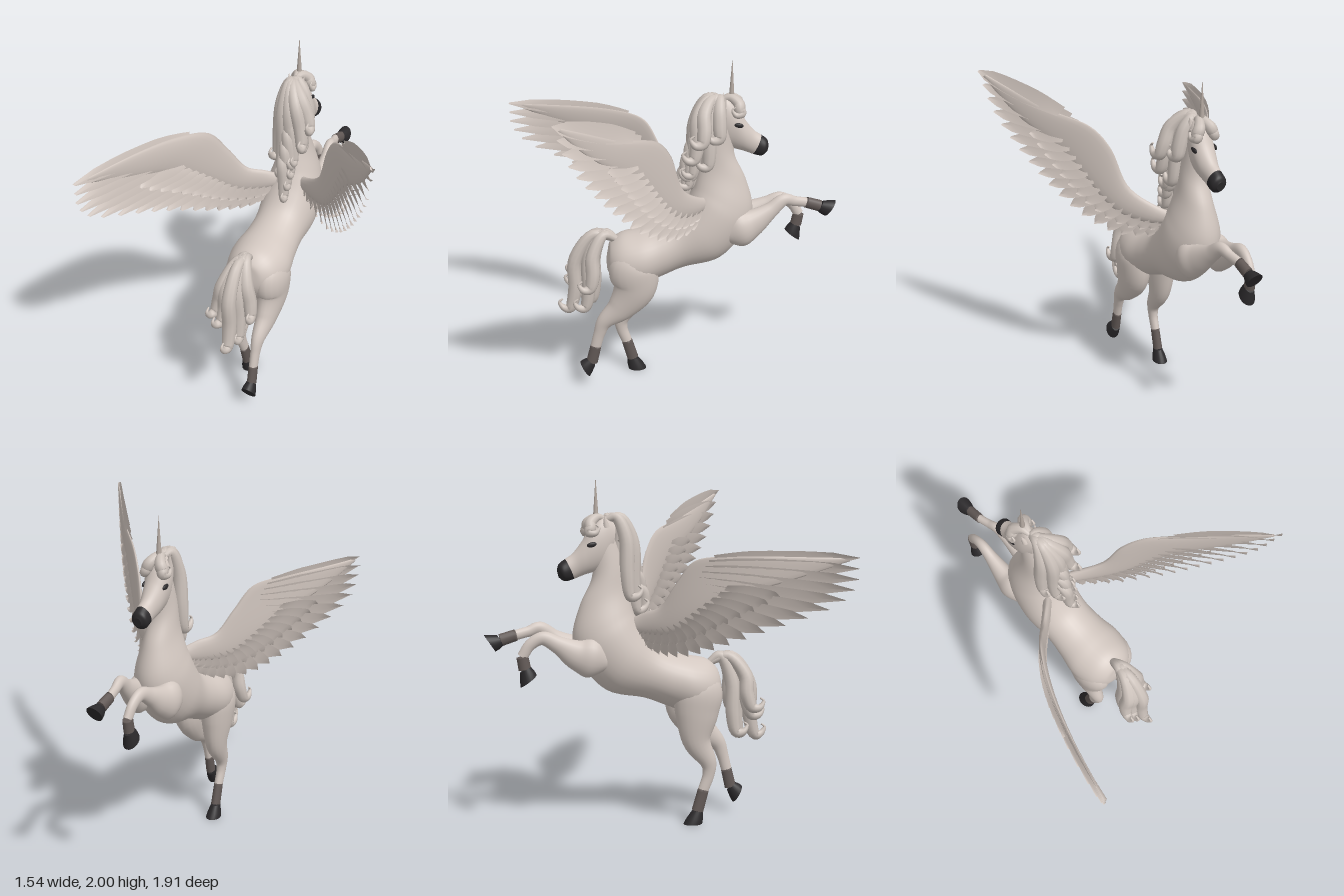
import * as THREE from 'three';

const V = (x, y, z) => new THREE.Vector3(x, y, z);
const spline = (points) => new THREE.CatmullRomCurve3(points, false, 'catmullrom');
const material = (name, color) => Object.assign(new THREE.MeshStandardMaterial({ color }), { name });

function geometry(pos, index) {
  const g = new THREE.BufferGeometry();
  g.setAttribute('position', new THREE.Float32BufferAttribute(pos, 3));
  g.setIndex(index);
  g.computeVertexNormals();
  return g;
}

// Closed skin through elliptical sections { c: centre, a, b: half axes }, capped at both ends
function loft(sections, sides = 20) {
  const first = sections[0], last = sections[sections.length - 1];
  const point = (s) => ({ c: s.c, a: V(0, 0, 0), b: V(0, 0, 0) });
  const rows = [point(first), first, ...sections, last, point(last)];
  const mid = Math.floor(sections.length / 2), m = sections[mid];
  const along = m.c.clone().sub(sections[mid - 1].c);
  const sign = Math.sign(m.a.clone().cross(m.b).dot(along)) || 1;
  const pos = [], index = [];
  rows.forEach((s, r) => {
    for (let i = 0; i < sides; i++) {
      const q = (i / sides) * Math.PI * 2 * sign, j = (i + 1) % sides;
      const p = s.c.clone().addScaledVector(s.a, Math.cos(q)).addScaledVector(s.b, Math.sin(q));
      pos.push(p.x, p.y, p.z);
      if (r) {
        const o = (r - 1) * sides, n = r * sides;
        index.push(o + i, o + j, n + j, o + i, n + j, n + i);
      }
    }
  });
  return geometry(pos, index);
}

// Skin from rows of [topZ, topY, bottomZ, bottomY, halfWidth], drifting from x0 to x1
function trunk(list, x0, x1, t0, t1, steps) {
  const top = spline(list.map((s) => V(0, s[1], s[0])));
  const low = spline(list.map((s) => V(0, s[3], s[2])));
  const wide = spline(list.map((s) => V(s[4], 0, 0)));
  const sections = [];
  for (let i = 0; i <= steps; i++) {
    const t = t0 + ((t1 - t0) * i) / steps, p = top.getPoint(t), q = low.getPoint(t);
    sections.push({
      c: p.clone().add(q).multiplyScalar(0.5).setX(x0 + (x1 - x0) * t),
      a: V(wide.getPoint(t).x, 0, 0),
      b: p.sub(q).multiplyScalar(0.5),
    });
  }
  return loft(sections, 32);
}

// Tube along points with a radius at each; sideways gives its half width in x
function limb(points, radii, steps, sides, sideways = (r) => r) {
  const path = spline(points), size = spline(radii.map((r) => V(r, 0, 0)));
  const a = V(1, 0, 0), sections = [];
  for (let i = 0; i <= steps; i++) {
    const t = i / steps, d = path.getTangent(t), r = size.getPoint(t).x;
    a.addScaledVector(d, -a.dot(d)).normalize();
    sections.push({
      c: path.getPoint(t),
      a: a.clone().multiplyScalar(sideways(r)),
      b: d.clone().cross(a).multiplyScalar(r),
    });
  }
  return loft(sections, sides);
}
const legWidth = (r) => (r < 0.05 ? r * 0.78 : 0.039 + (r - 0.05) * 0.56);

// Lock of hair: leaves the root, arches by rise, hangs by drop and ends in a curl
function lock(root, dx, dz, drop, rise, r) {
  const at = (x, y, z) => V(root.x + dx * x, root.y + y, root.z + dz * z);
  const end = at(1, -drop, 1), turn = Math.sign(dx) * 0.015, k = r / 0.036;
  const curl = (y, z) => end.clone().add(V(turn, y * k, z * k));
  const points = [root, at(0.2, rise, 0.5), at(0.6, -drop * 0.28, 0.88), at(0.85, -drop * 0.7, 0.9), end,
    curl(-0.005, 0.04), curl(0.03, 0.065), curl(0.05, 0.045)];
  const radii = points.map((p, i) => r * (0.12 + Math.sin(Math.PI * (0.2 + 0.114 * i)) ** 2));
  return limb(points, radii, 36, 10);
}

// Hoof flaring from the pastern to a flat sole facing n
function hoof(top, bottom, n) {
  const b = n.clone().normalize().cross(V(1, 0, 0));
  const ring = (c, r) => ({ c, a: V(r * 0.78, 0, 0), b: b.clone().multiplyScalar(r) });
  return loft([ring(top, 0.034), ring(top.clone().lerp(bottom, 0.6), 0.05), ring(bottom, 0.056)]);
}

// Wing standing on a curved wall z(x); lead and trail are its edges in (x, y)
function wing(name, lead, trail, zAt, mat) {
  const group = new THREE.Group();
  group.name = name;
  const [L, T] = [lead, trail].map((e) => new THREE.CatmullRomCurve3(e.map((p) => V(p[0], p[1], 0))));
  const mix = (tl, tt, k) => L.getPointAt(tl).lerp(T.getPointAt(tt), k);
  const normal = (x) => V(-(zAt(x + 0.01) - zAt(x - 0.01)) / 0.02, 0, 1).normalize();
  const wall = (p, off) => V(p.x, p.y, zAt(p.x)).addScaledVector(normal(p.x), off);

  // fleshy arm along the leading edge
  const sections = [];
  for (let i = 0; i <= 36; i++) {
    const t = (i / 36) * 0.97, P = wall(L.getPointAt(t), 0), Q = wall(mix(t, t, 0.55), 0);
    const c = P.clone().add(Q).multiplyScalar(0.5);
    sections.push({ c, a: normal(c.x).multiplyScalar(0.026 - 0.02 * t), b: P.sub(Q).multiplyScalar(0.5) });
  }
  const arm = new THREE.Mesh(loft(sections, 16), mat);
  arm.name = name + 'Arm';
  group.add(arm);

  // overlapping feathers, fanned from the arm to the trailing edge, broader toward the tip
  const row = (rowName, count, half, from, reach, span, off) => {
    const pos = [], index = [];
    for (let f = 0; f < count; f++) {
      const t = span * (f / (count - 1)) ** 1.15, start = 0.04 + 0.56 * t;
      const root = mix(start, t, from + 0.1 * t), tip = mix(start, t, reach);
      const d = tip.clone().sub(root), side = V(-d.y, d.x, 0).normalize();
      for (let k = 0; k <= 8; k++) {
        const u = k / 8, w = half * (0.8 + 0.35 * t) * (0.6 + 0.4 * Math.min(1, u * 3)) * Math.sqrt(1.002 - u ** 4);
        for (let e = -1; e <= 1; e++) {
          const p = root.clone().addScaledVector(d, u).addScaledVector(side, e * w);
          const v = wall(p, off + e * 0.009 + (e ? 0 : 0.003));
          pos.push(v.x, v.y, v.z);
          const o = pos.length / 3 - 1;
          if (k && e > -1) index.push(o - 4, o - 3, o, o - 4, o, o - 1);
        }
      }
    }
    const mesh = new THREE.Mesh(geometry(pos, index), mat);
    mesh.name = name + rowName;
    group.add(mesh);
  };
  row('FlightFeathers', 20, 0.042, 0.1, 1, 1, 0);
  row('FrontCoverts', 16, 0.034, 0.35, 0.74, 0.75, -0.012);
  row('BackCoverts', 16, 0.034, 0.35, 0.74, 0.75, 0.012);
  return group;
}

export function createModel() {
  const model = new THREE.Group();
  const coat = material('coat', 0xd2c7c0), hair = material('hair', 0xcdc3bc);
  const horn = material('horn', 0xb3a8a0), sock = material('sock', 0x625956), dark = material('hoofBlack', 0x2b292b);
  const plume = material('plume', 0xcfc4bd);
  plume.side = THREE.DoubleSide;
  const add = (name, geo, mat) => {
    const mesh = new THREE.Mesh(geo, mat);
    mesh.name = name;
    model.add(mesh);
    return mesh;
  };

  // body and neck, rump to poll
  const body = [
    [0.385, 0.88, 0.4, 0.8, 0.03], [0.37, 0.92, 0.39, 0.73, 0.1], [0.31, 0.965, 0.33, 0.64, 0.16],
    [0.21, 0.985, 0.2, 0.65, 0.183], [0.1, 1.01, 0.07, 0.7, 0.163], [0, 1.06, -0.06, 0.75, 0.152],
    [-0.07, 1.15, -0.27, 0.8, 0.165], [-0.11, 1.23, -0.42, 0.96, 0.155], [-0.125, 1.28, -0.465, 1.11, 0.13],
    [-0.15, 1.38, -0.42, 1.29, 0.09], [-0.18, 1.53, -0.355, 1.43, 0.07], [-0.25, 1.73, -0.345, 1.55, 0.055],
  ];
  add('body', trunk(body, -0.085, -0.1, 0, 1, 64), coat);

  // head and dark muzzle share one profile
  const head = [
    [-0.22, 1.74, -0.24, 1.58, 0.035], [-0.29, 1.78, -0.29, 1.5, 0.06], [-0.355, 1.735, -0.345, 1.475, 0.066],
    [-0.405, 1.65, -0.395, 1.46, 0.06], [-0.46, 1.58, -0.43, 1.447, 0.048], [-0.505, 1.548, -0.455, 1.437, 0.045],
    [-0.538, 1.522, -0.505, 1.425, 0.046], [-0.548, 1.495, -0.538, 1.445, 0.022],
  ];
  add('head', trunk(head, -0.105, -0.101, 0, 5 / 7, 40), coat);
  add('muzzle', trunk(head, -0.105, -0.101, 5 / 7, 1, 20), dark);

  // eyes, ears and forelock
  for (const [side, s] of [['left', 1], ['right', -1]]) {
    const eye = add(side + 'Eye', new THREE.SphereGeometry(1, 16, 12), dark);
    eye.scale.set(0.009, 0.014, 0.028);
    eye.position.set(-0.105 + s * 0.063, 1.628, -0.365);
    eye.rotation.x = -0.2;
    const ear = add(side + 'Ear', new THREE.ConeGeometry(0.02, 0.07, 12), coat);
    ear.position.set(-0.105 + s * 0.042, 1.757, -0.285);
    ear.rotation.set(-0.2, 0, -s * 0.2);
    add(side + 'Forelock', lock(V(-0.105, 1.765, -0.27), s * 0.055, -0.11, 0.07, 0.01, 0.03), hair);
  }

  // tapered horn
  const spike = add('horn', new THREE.ConeGeometry(0.019, 0.27, 16), horn);
  spike.position.set(-0.108, 1.865, -0.33);

  // leg from rows of [y, z, radius], drifting from x0 to x1, then sock and hoof
  const addLeg = (name, x0, x1, rows, top, bottom, n) => {
    const points = rows.map((p, i) => V(x0 + ((x1 - x0) * i) / (rows.length - 1), p[0], p[1]));
    const [ankle, hoofTop] = [points[points.length - 1], V(x1, ...top)];
    add(name + 'Leg', limb(points, rows.map((p) => p[2]), 40, 20, legWidth), coat);
    add(name + 'Sock', limb([ankle, hoofTop], [0.033, 0.035], 6, 16, legWidth), sock);
    add(name + 'Hoof', hoof(hoofTop, V(x1, ...bottom), V(0, ...n)), dark);
  };
  const thigh = [[0.92, 0.22, 0.04], [0.8, 0.245, 0.14], [0.66, 0.24, 0.13]];
  const shoulder = [[0.97, -0.27, 0.03], [1, -0.37, 0.11]];
  addLeg('leftHind', 0.01, 0, [...thigh, [0.53, 0.32, 0.088], [0.44, 0.42, 0.05], [0.36, 0.455, 0.036], [0.27, 0.48, 0.032]],
    [0.16, 0.507], [0.112, 0.55], [-0.5, 0.87]);
  addLeg('rightHind', -0.18, -0.17, [...thigh, [0.5, 0.24, 0.085], [0.37, 0.31, 0.05], [0.29, 0.315, 0.036], [0.2, 0.285, 0.032]],
    [0.075, 0.25], [0, 0.222], [-1, 0]);
  addLeg('leftFront', 0, -0.075, [...shoulder, [1.035, -0.46, 0.085], [1.1, -0.56, 0.05], [1.16, -0.64, 0.038], [1.145, -0.71, 0.03], [1.13, -0.78, 0.029]],
    [1.104, -0.865], [1.088, -0.925], [-0.55, -0.83]);
  addLeg('rightFront', -0.2, -0.168, [...shoulder, [1.025, -0.46, 0.085], [1.08, -0.56, 0.05], [1.12, -0.645, 0.038], [1.085, -0.715, 0.032], [1.02, -0.758, 0.03]],
    [0.95, -0.745], [0.885, -0.725], [-0.8, 0.6]);

  // mane: long locks [dx, dz, drop] swept from the poll, short ones down the crest
  const sweeps = [[0.15, 0.12, 0.21], [0.12, 0.16, 0.31], [0.06, 0.17, 0.43], [0, 0.17, 0.5], [-0.05, 0.12, 0.42],
    [0.09, 0.08, 0.36], [0.1, 0.02, 0.2]];
  sweeps.forEach((s, i) => add('maneLock' + i, lock(V(-0.105, 1.765, -0.27), ...s, 0.005, 0.038), hair));
  for (let i = 0; i < 4; i++) {
    const root = V(-0.1, 1.66 - 0.08 * i, -0.2 + 0.012 * i);
    add('crestLock' + i, lock(root, 0.07 - 0.01 * i, 0.1 + 0.01 * i, 0.31 - 0.01 * i, -0.03, 0.032), hair);
  }

  // tail locks [dx, dz, drop]
  const tail = [[0, 0.29, 0.43], [-0.1, 0.24, 0.25], [0.085, 0.17, 0.27], [-0.045, 0.16, 0.4], [0.02, 0.2, 0.42], [-0.06, 0.25, 0.3]];
  tail.forEach((s, i) => add('tailLock' + i, lock(V(-0.085, 0.93, 0.33), ...s, 0.04, 0.038), hair));

  // wings, the left one raised higher
  model.add(wing('leftWing',
    [[-0.04, 1.2], [0.05, 1.24], [0.17, 1.34], [0.25, 1.57], [0.33, 1.68], [0.51, 1.76], [0.76, 1.925]],
    [[0, 1.09], [0.1, 1.05], [0.25, 1.06], [0.38, 1.15], [0.51, 1.31], [0.7, 1.67], [0.76, 1.925]],
    (x) => -0.14 + 0.741 * (x - 0.03) + 0.486 * (x - 0.03) ** 2, plume));
  model.add(wing('rightWing',
    [[-0.12, 1.2], [-0.2, 1.25], [-0.28, 1.285], [-0.36, 1.42], [-0.44, 1.55], [-0.55, 1.577], [-0.76, 1.57]],
    [[-0.18, 1.08], [-0.28, 1.02], [-0.4, 1.02], [-0.52, 1.08], [-0.72, 1.29], [-0.755, 1.4], [-0.76, 1.57]],
    (x) => { const d = -x - 0.175; return -0.1 + 0.934 * d - 1.224 * d ** 2 + 4.63 * d ** 3; }, plume));
  return model;
}
